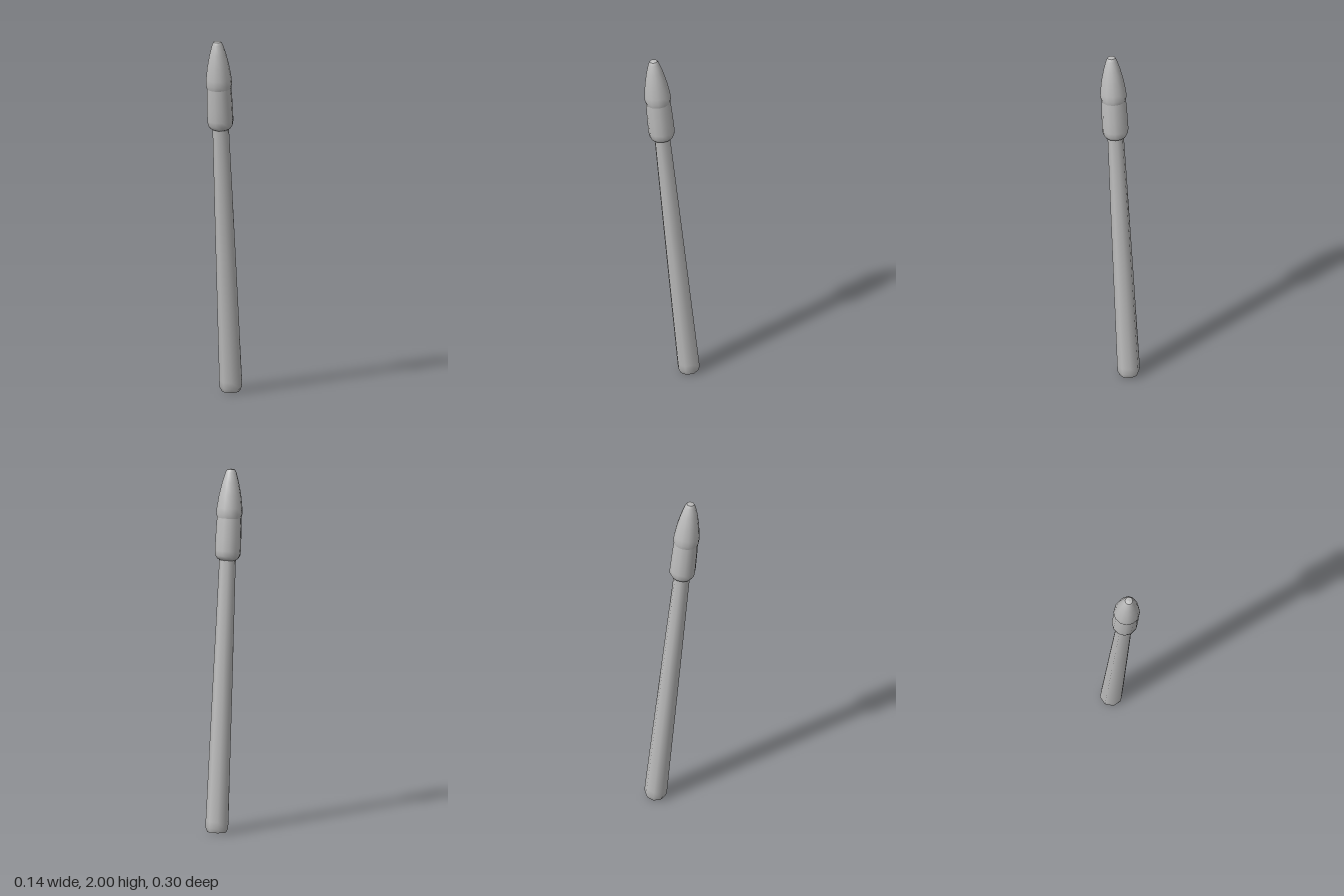
import * as THREE from 'three';

const grey = new THREE.MeshStandardMaterial({ color: 0xbcbcbc });
grey.name = 'grey';

// Turned part from [radius, height] pairs, listed bottom to top
function turned(name, profile, sides, startAngle) {
  const points = profile.map(([r, y]) => new THREE.Vector2(r, y));
  const mesh = new THREE.Mesh(new THREE.LatheGeometry(points, sides, startAngle), grey);
  mesh.name = name;
  return mesh;
}

export function createModel() {
  const model = new THREE.Group();
  model.name = 'leaningStaff';

  // Everything shares one axis that leans towards the front
  const axis = new THREE.Group();
  axis.name = 'leaningAxis';
  axis.rotation.x = 0.098;
  axis.position.set(0, 0.005, -0.094);
  model.add(axis);

  const turn = THREE.MathUtils.degToRad(27);

  // Eight-sided tapered shaft with a bevelled, closed foot
  axis.add(turned('shaftFoot', [[0, 0], [0.051, 0]], 8, turn));
  axis.add(turned('shaft', [
    [0.051, 0], [0.062, 0.024], [0.0625, 0.06], [0.053, 0.9], [0.0455, 1.47], [0.046, 1.51],
  ], 8, turn));

  // Rounded collar block, slightly waisted under the tip
  axis.add(turned('collar', [
    [0.042, 1.5], [0.058, 1.509], [0.069, 1.527], [0.072, 1.555],
    [0.071, 1.62], [0.0695, 1.69], [0.067, 1.735],
  ], 12, 0));

  // Bullet-shaped tip overhanging the collar
  axis.add(turned('tip', [
    [0.067, 1.735], [0.0725, 1.758], [0.0705, 1.79], [0.061, 1.86],
    [0.046, 1.93], [0.03, 1.985], [0.021, 2.001],
  ], 12, 0));
  axis.add(turned('tipCap', [[0.021, 2.001], [0, 2.004]], 12, 0));

  return model;
}
